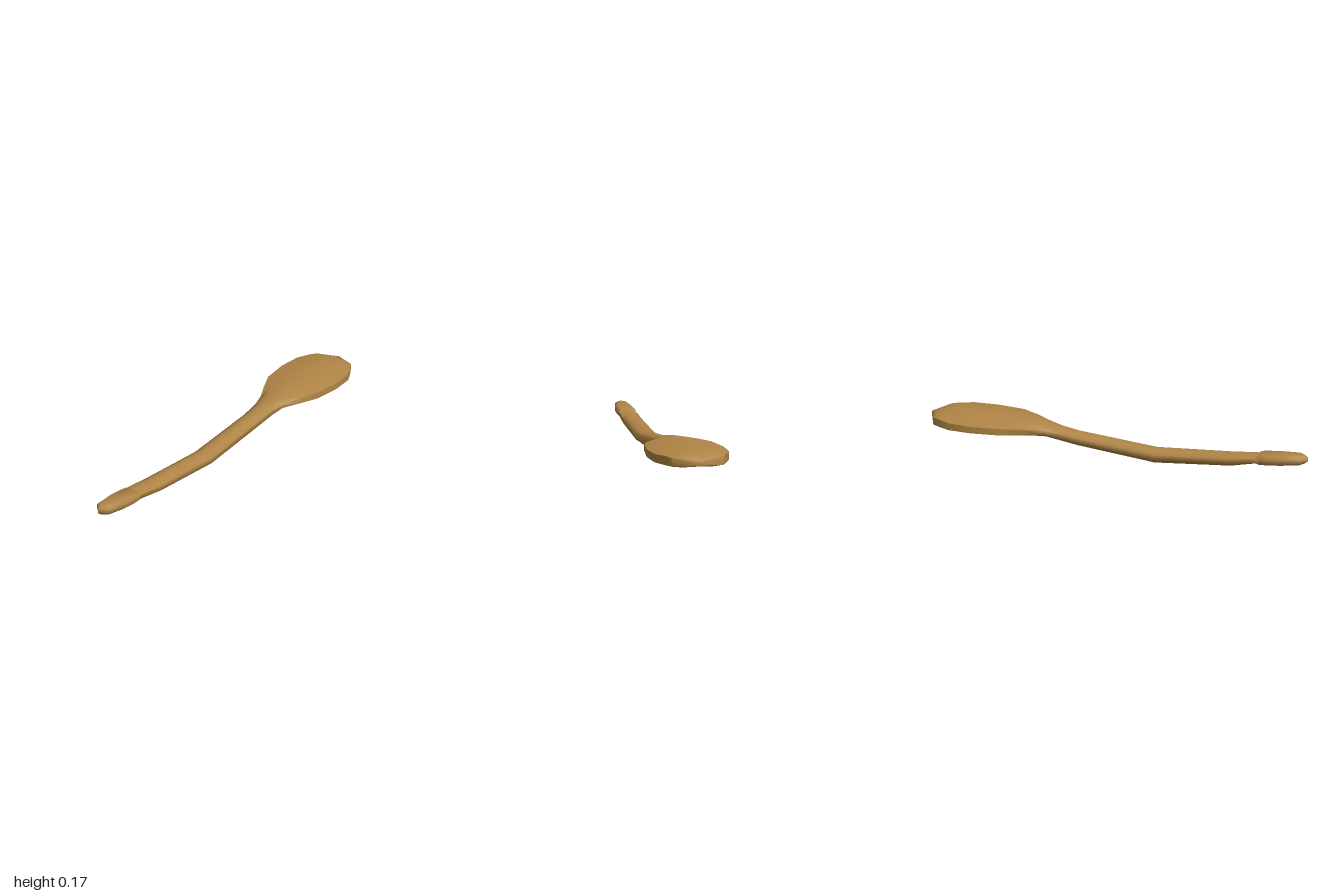
import * as THREE from 'three';
import { toCreasedNormals } from 'three/addons/utils/BufferGeometryUtils.js';

const CREASE = 1.2;

// Section: z, half width, top, side top, side bottom, inner rim half width, rim y, underside centre y
function handleSection(z, w, top, bottom) {
  const h = top - bottom;
  const sideBottom = bottom + 0.34 * h;
  return [z, w, top, top - 0.27 * h, sideBottom, 0.55 * w, bottom + 0.5 * (sideBottom - bottom), bottom];
}

// Closed ring, counter-clockwise as seen from the front
function ring([z, w, top, sideTop, sideBottom, ri, rim, under]) {
  const half = [
    [0, top],
    [0.6 * w, top - 0.48 * (top - sideTop)],
    [w, sideTop],
    [w, sideBottom],
    [ri, rim],
    [0.65 * ri, rim + 0.8 * (under - rim)],
    [0, under],
  ];
  const left = half.map(([x, y]) => [-x, y, z]);
  const right = half.slice(1, -1).reverse().map(([x, y]) => [x, y, z]);
  return [...left, ...right];
}

function loft(sections) {
  const rings = sections.map(ring);
  const n = rings[0].length;
  const index = [];
  for (let i = 0; i < rings.length - 1; i++) {
    for (let j = 0; j < n; j++) {
      const k = (j + 1) % n;
      const a = i * n + j, b = i * n + k, c = b + n, d = a + n;
      index.push(a, d, b, b, d, c);
    }
  }
  const last = (rings.length - 1) * n;
  for (let j = 1; j < n - 1; j++) {
    index.push(0, j, j + 1, last, last + j + 1, last + j);
  }
  const geometry = new THREE.BufferGeometry();
  geometry.setAttribute('position', new THREE.Float32BufferAttribute(rings.flat(2), 3));
  geometry.setIndex(index);
  return toCreasedNormals(geometry, CREASE);
}

// Flat handle end with an oval hanging hole, sheared to follow the handle's slope
function handleEndGeometry() {
  const bevel = 0.013;
  const outline = [[0.045, 0.75], [0.052, 0.8], [0.051, 0.87], [0.037, 0.965], [0, 0.998]];
  const points = [...outline, ...outline.slice(0, -1).reverse().map(([x, z]) => [-x, z])];
  const shape = new THREE.Shape(points.map(([x, z]) => new THREE.Vector2(x, z)));
  const hole = [];
  for (let i = 0; i < 8; i++) {
    const a = (i / 8) * Math.PI * 2;
    hole.push(new THREE.Vector2(0.024 * Math.sin(a), 0.877 + 0.048 * Math.cos(a)));
  }
  shape.holes.push(new THREE.Path(hole));
  const geometry = new THREE.ExtrudeGeometry(shape, {
    depth: 0.022, bevelEnabled: true, bevelThickness: 0.013,
    bevelSize: bevel, bevelOffset: -bevel, bevelSegments: 1,
  });
  geometry.rotateX(Math.PI / 2);
  const p = geometry.attributes.position;
  for (let i = 0; i < p.count; i++) {
    p.setY(i, p.getY(i) + 0.011 + 0.09 + (p.getZ(i) - 0.78) * 0.09);
  }
  return toCreasedNormals(geometry, CREASE);
}

export function createModel() {
  const wood = new THREE.MeshStandardMaterial({ color: 0xb08546 });
  wood.name = 'wood';
  const group = new THREE.Group();
  group.name = 'spoon';

  const add = (name, geometry) => {
    const mesh = new THREE.Mesh(geometry, wood);
    mesh.name = name;
    group.add(mesh);
  };

  // Handle flowing into the downturned bowl
  add('handleAndBowl', loft([
    handleSection(0.8, 0.046, 0.112, 0.07),
    handleSection(0.72, 0.05, 0.109, 0.056),
    handleSection(0.62, 0.05, 0.102, 0.033),
    handleSection(0.23, 0.051, 0.08, 0.001),
    handleSection(-0.18, 0.05, 0.119, 0.045),
    handleSection(-0.28, 0.055, 0.135, 0.062),
    [-0.35, 0.073, 0.147, 0.126, 0.104, 0.038, 0.085, 0.076],
    [-0.45, 0.12, 0.163, 0.138, 0.106, 0.065, 0.09, 0.1],
    [-0.54, 0.16, 0.172, 0.143, 0.108, 0.112, 0.1, 0.136],
    [-0.7, 0.18, 0.176, 0.144, 0.109, 0.138, 0.101, 0.149],
    [-0.83, 0.17, 0.174, 0.146, 0.108, 0.127, 0.1, 0.148],
    [-0.9, 0.137, 0.168, 0.148, 0.107, 0.095, 0.1, 0.14],
    [-0.94, 0.115, 0.161, 0.146, 0.107, 0.068, 0.102, 0.108],
    [-1, 0.004, 0.138, 0.136, 0.117, 0.002, 0.116, 0.115],
  ]));

  add('handleEnd', handleEndGeometry());
  return group;
}
